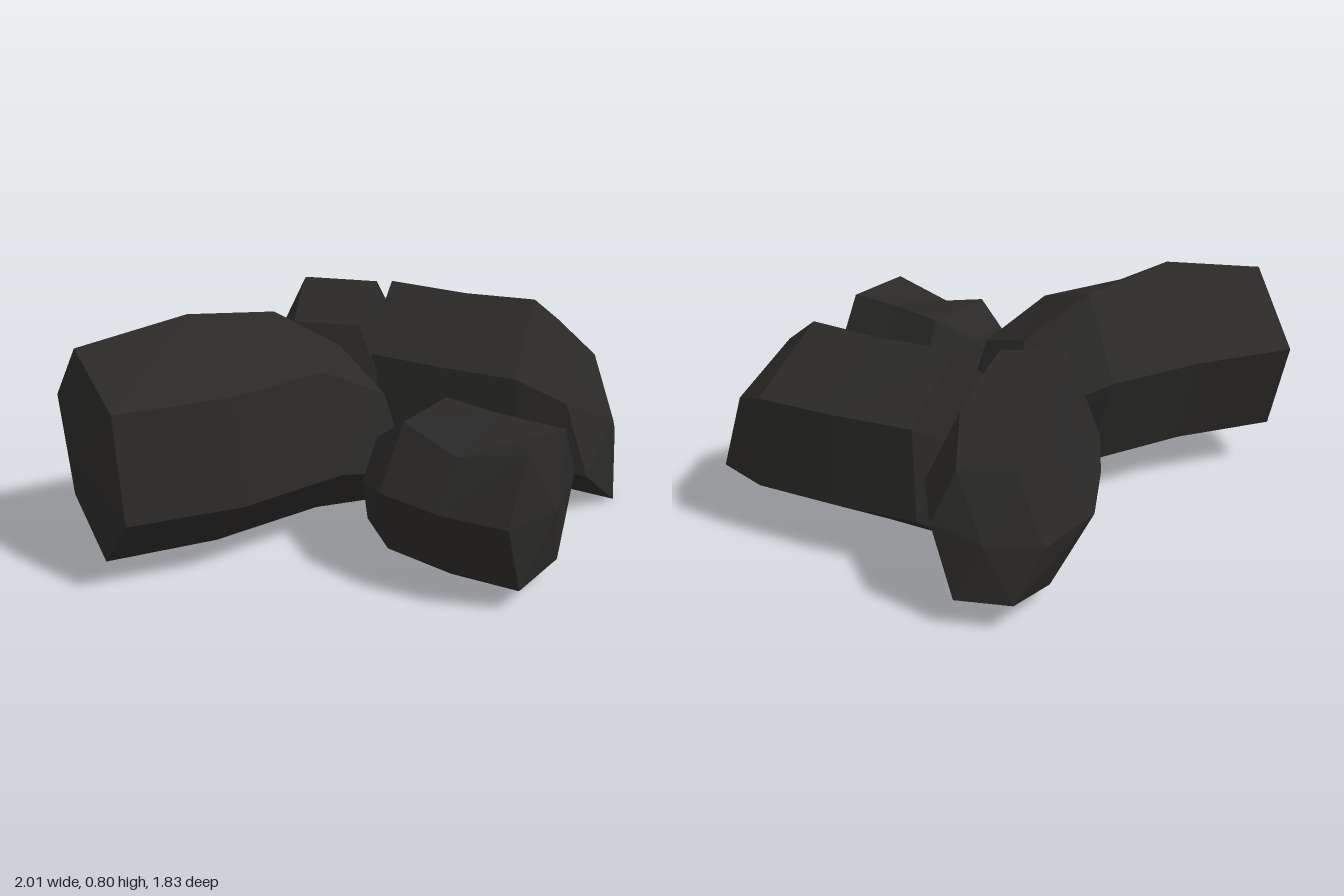
import * as THREE from 'three';

const MID = 0.35; // height about which sections are scaled

// One faceted lump: a six-sided profile (u across, v up) swept along a level axis.
// The body is three sections that widen from `flare`, bowed sideways in the middle;
// a smaller, lower section (dome) then rounds off the far end.
// `crown` raises or chips the first top corner of the middle section.
function lump(name, material, { start, dir, profile, length, flare, crown = 0, bow = 0, dome }) {
  const d = new THREE.Vector2(...dir).normalize();
  const place = (t, u, v) => new THREE.Vector3(
    start[0] + d.x * t - d.y * u, v, start[1] + d.y * t + d.x * u);

  // lean pushes the low corners of a section further along the axis
  const section = ({ t, wide, tall = 1, shift = 0, lift = 0, lean = 0 }) =>
    profile.map(([u, v]) => {
      const y = (v - MID) * tall + MID + lift;
      return place(t + lean * (MID - y), u * wide + shift, y);
    });
  const rings = [
    section({ t: 0, wide: flare[0] }),
    section({ t: length / 2, wide: (flare[0] + flare[1]) / 2 + 0.04, shift: bow }),
    section({ t: length, wide: flare[1], lean: 0.1 }),
    section(dome),
  ];
  rings[1][0].y += crown;

  // slightly bulged centre of each end face
  const tip = (ring, bulge) => {
    const c = new THREE.Vector3();
    ring.forEach((p) => c.addScaledVector(p, 1 / ring.length));
    return c.add(new THREE.Vector3(d.x * bulge, 0, d.y * bulge));
  };
  const startTip = tip(rings[0], -0.05);
  const endTip = tip(rings[3], dome.bulge);

  const tris = [];
  for (let j = 0; j < profile.length; j++) {
    const k = (j + 1) % profile.length;
    for (let i = 0; i < 3; i++) {
      const a = rings[i][j], b = rings[i][k], c = rings[i + 1][j], e = rings[i + 1][k];
      tris.push(a, b, c, b, e, c);
    }
    tris.push(startTip, rings[0][k], rings[0][j]);
    tris.push(endTip, rings[3][j], rings[3][k]);
  }
  const geometry = new THREE.BufferGeometry().setFromPoints(tris);
  geometry.computeVertexNormals();
  const mesh = new THREE.Mesh(geometry, material);
  mesh.name = name;
  return mesh;
}

export function createModel() {
  const group = new THREE.Group();
  group.name = 'lumpPile';
  const material = new THREE.MeshStandardMaterial({ color: 0x2a2928, flatShading: true });

  // long ridged lump
  group.add(lump('largeLump', material, {
    start: [-0.9, 0.35], dir: [0.93, -0.36], length: 0.74, flare: [1, 1.04], crown: 0.06, bow: 0.04,
    profile: [[-0.07, 0.74], [0.24, 0.63], [0.3, 0.28], [0.08, 0.05], [-0.2, 0.17], [-0.3, 0.5]],
    dome: { t: 0.99, wide: 0.85, tall: 0.82, shift: 0.03, lift: -0.08, lean: 0.25, bulge: 0.1 },
  }));

  // ridged lump pointing out to the left
  group.add(lump('leftLump', material, {
    start: [0.2, -0.36], dir: [0.85, 0.52], length: 0.58, flare: [0.97, 1.1], crown: -0.01,
    profile: [[0, 0.7], [0.25, 0.5], [0.26, 0.2], [0.02, 0], [-0.26, 0.2], [-0.27, 0.53]],
    dome: { t: 0.77, wide: 0.84, tall: 0.85, shift: 0.04, lift: -0.05, lean: 0.35, bulge: 0.08 },
  }));

  // flat-topped lump at the back
  group.add(lump('backLump', material, {
    start: [-0.07, -0.17], dir: [0.24, -0.97], length: 0.54, flare: [0.82, 1],
    profile: [[-0.14, 0.62], [0.14, 0.61], [0.25, 0.38], [0.13, 0.07], [-0.15, 0.07], [-0.28, 0.32]],
    dome: { t: 0.69, wide: 0.66, tall: 0.72, shift: 0.03, lift: -0.05, lean: 0.25, bulge: 0.05 },
  }));

  // small chipped lump in front
  group.add(lump('smallLump', material, {
    start: [0.48, 0.75], dir: [-0.73, -0.68], length: 0.45, flare: [1, 1.05], crown: -0.06, bow: -0.02,
    profile: [[-0.12, 0.54], [0.13, 0.53], [0.22, 0.35], [0.13, 0.07], [-0.13, 0.08], [-0.22, 0.33]],
    dome: { t: 0.55, wide: 0.6, tall: 0.65, shift: -0.04, lift: -0.02, lean: 0.1, bulge: 0.03 },
  }));
  return group;
}
